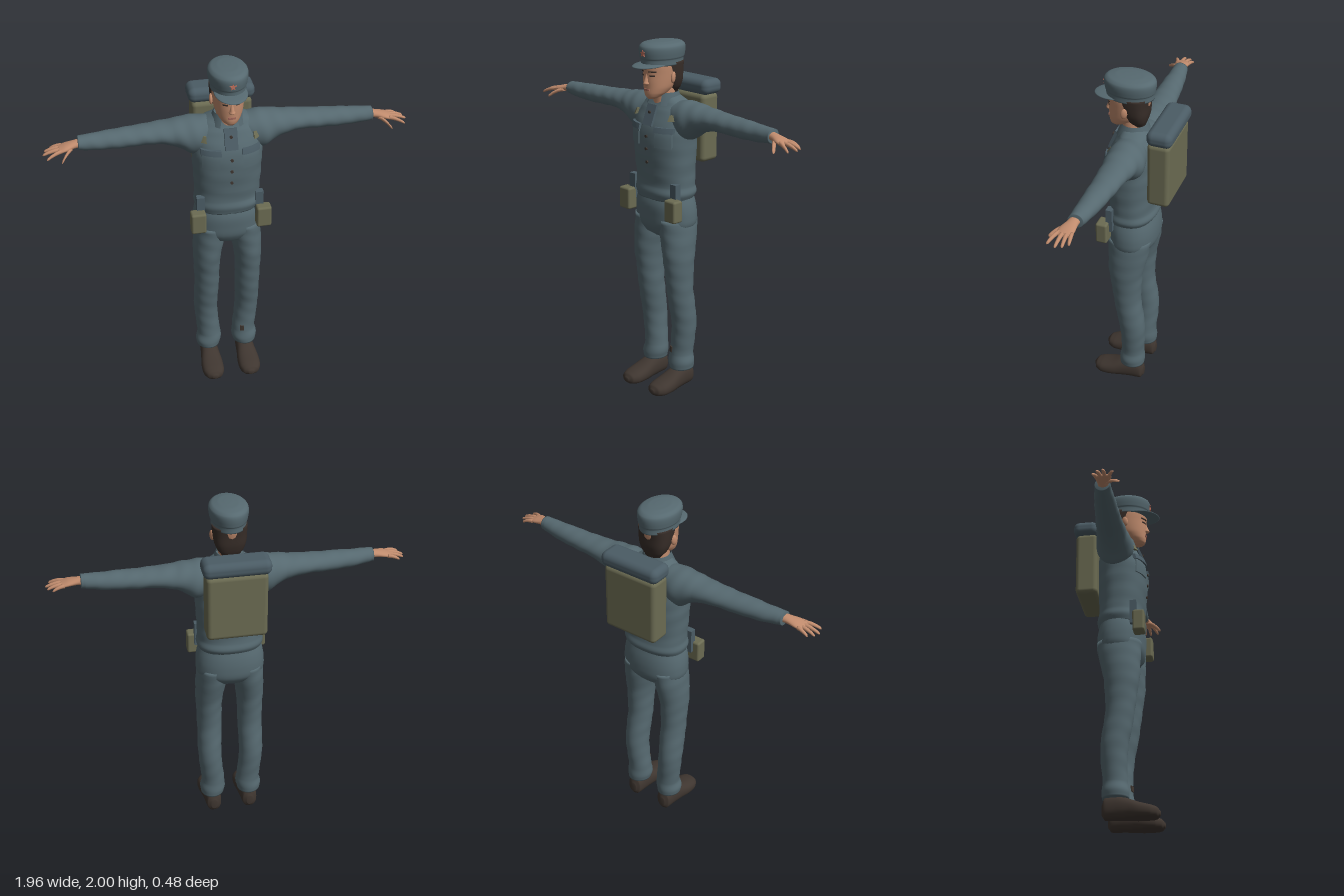
import * as THREE from 'three';
import { RoundedBoxGeometry } from 'three/addons/geometries/RoundedBoxGeometry.js';

const colour = (name, hex, side = THREE.FrontSide) => {
  const m = new THREE.MeshStandardMaterial({ color: hex, side });
  m.name = name;
  return m;
};

// Rows are [t, a, b, ra, rb]: position on the axis, ring centre, ring radii.
function smoothRows(rows, steps = 5) {
  const out = [];
  const at = i => rows[Math.min(Math.max(i, 0), rows.length - 1)];
  for (let i = 0; i < rows.length - 1; i++) {
    for (let s = 0; s < steps; s++) {
      const f = s / steps;
      out.push(rows[i].map((p1, k) => {
        const p0 = at(i - 1)[k], p2 = at(i + 1)[k], p3 = at(i + 2)[k];
        if (k === 0) return p1 + (p2 - p1) * f;
        return p1 + 0.5 * f * (p2 - p0 + f * (2 * p0 - 5 * p1 + 4 * p2 - p3 + f * (3 * (p1 - p2) + p3 - p0)));
      }));
    }
  }
  out.push(rows[rows.length - 1]);
  return out;
}

// Closed smooth body through superelliptic rings along one axis, with optional cloth folds.
function loft(rows, { axis = 'y', n = 2, fold = 0, sides = 32, floor = -1 } = {}) {
  const rings = smoothRows(rows), pos = [], idx = [];
  const put = (t, a, b) => {
    const p = axis === 'y' ? [a, t, b] : axis === 'x' ? [t, a, b] : [a, b, t];
    pos.push(p[0], Math.max(p[1], floor), p[2]);
  };
  const power = v => Math.sign(v) * Math.abs(v) ** (2 / n);
  for (const [t, a, b, ra, rb] of rings) {
    for (let j = 0; j < sides; j++) {
      const w = j / sides * Math.PI * 2;
      const k = 1 + fold * (Math.sin(t * 70 + 2.5 * Math.cos(w)) + 0.7 * Math.sin(t * 43 + 3 * w));
      put(t, a + ra * k * power(Math.cos(w)), b + rb * k * power(Math.sin(w)));
    }
  }
  const flip = (axis !== 'y') !== (rows[rows.length - 1][0] < rows[0][0]);
  const tri = (a, b, c) => flip ? idx.push(a, c, b) : idx.push(a, b, c);
  const last = (rings.length - 1) * sides, end = rings.length * sides;
  for (let j = 0; j < sides; j++) {
    const k = (j + 1) % sides;
    for (let i = 0; i < last; i += sides) {
      tri(i + j, i + sides + j, i + k);
      tri(i + k, i + sides + j, i + sides + k);
    }
    tri(end, j, k);
    tri(end + 1, last + k, last + j);
  }
  for (const r of [rings[0], rings[rings.length - 1]]) put(r[0], r[1], r[2]);
  const g = new THREE.BufferGeometry();
  g.setAttribute('position', new THREE.Float32BufferAttribute(pos, 3));
  g.setIndex(idx);
  g.computeVertexNormals();
  return g;
}

// Front surface of an upright loft at (x, y).
function frontZ(rows, x, y, n) {
  const r = smoothRows(rows);
  let i = 0;
  while (i < r.length - 2 && (r[i + 1][0] - y) * (r[0][0] - y) > 0) i++;
  const f = (y - r[i][0]) / (r[i + 1][0] - r[i][0]);
  const [, a, b, ra, rb] = r[i].map((v, k) => v + (r[i + 1][k] - v) * f);
  return b + rb * Math.max(0, 1 - Math.abs((x - a) / ra) ** n) ** (1 / n);
}

// Thin plate bent to lie on the front of a loft.
function patch(rows, x, y, w, h, { n = 2, thick = 0.008 } = {}) {
  const g = new THREE.BoxGeometry(w, h, thick, 8, 8, 1), p = g.attributes.position;
  for (let i = 0; i < p.count; i++) {
    const px = p.getX(i) + x, py = p.getY(i) + y;
    p.setXYZ(i, px, py, frontZ(rows, px, py, n) + p.getZ(i) + thick * 0.4);
  }
  g.computeVertexNormals();
  return g;
}

export function createModel() {
  const model = new THREE.Group();
  const cloth = colour('uniform cloth', 0x566970), gear = colour('dark cloth', 0x4b5c65);
  const collarCloth = colour('collar cloth', 0x52646b, THREE.DoubleSide);
  const canvas = colour('olive canvas', 0x6b6b52), skin = colour('skin', 0xc08b6d);
  const leather = colour('brown leather', 0x3f3630), hairMat = colour('hair', 0x372d28);
  const red = colour('badge red', 0xc0705c), lip = colour('lips', 0xa0685a);
  const add = (name, geo, mat, x = 0, y = 0, z = 0) => {
    const m = new THREE.Mesh(geo, mat);
    m.name = name;
    m.position.set(x, y, z);
    model.add(m);
    return m;
  };

  // Jacket and trousers
  const torso = [
    [1.13, 0, .02, .172, .122], [1.17, 0, .015, .187, .136], [1.21, 0, .015, .18, .128],
    [1.28, 0, .018, .182, .13], [1.4, 0, .02, .188, .139], [1.5, 0, .02, .192, .139],
    [1.57, 0, .012, .188, .127], [1.63, 0, .004, .17, .105], [1.67, 0, .002, .135, .083],
    [1.695, 0, .01, .09, .068], [1.71, 0, .02, .07, .06]];
  add('jacket', loft(torso, { n: 2.3, fold: .006, sides: 48 }), cloth);
  add('hips', loft([
    [.905, 0, .02, .05, .06], [.93, 0, .016, .14, .1], [.98, 0, .012, .187, .13], [1.04, 0, .012, .193, .136],
    [1.1, 0, .015, .186, .134], [1.16, 0, .015, .17, .12], [1.2, 0, .015, .16, .11]], { n: 2.2 }), cloth);

  // Head, hair and cap
  const head = [
    [1.693, 0, .115, .022, .026], [1.705, 0, .105, .04, .046], [1.725, 0, .086, .058, .07],
    [1.755, 0, .066, .073, .091], [1.79, 0, .052, .081, .107], [1.83, 0, .047, .086, .112],
    [1.87, 0, .045, .089, .118], [1.92, 0, .045, .088, .118]];
  add('neck', loft([[1.63, 0, .025, .07, .065], [1.69, 0, .028, .06, .062], [1.78, 0, .035, .06, .066]]), skin);
  add('head', loft(head), skin);
  add('hair', loft([
    [1.715, 0, -.012, .045, .032], [1.75, 0, -.006, .07, .05], [1.79, 0, .002, .085, .066],
    [1.84, 0, .012, .091, .078], [1.89, 0, .018, .094, .088]], { n: 2.7 }), hairMat);
  add('nose', loft([
    [1.768, 0, .15, .008, .012], [1.778, 0, .153, .018, .024], [1.79, 0, .151, .014, .023],
    [1.82, 0, .15, .009, .013], [1.84, 0, .15, .007, .009]], { sides: 16 }), skin);
  add('mouth', patch(head, 0, 1.745, .042, .01, { thick: .006 }), lip);
  add('cap', loft([
    [1.875, 0, .042, .094, .13], [1.905, 0, .042, .095, .131], [1.915, 0, .042, .1, .136],
    [1.95, 0, .042, .105, .141], [1.975, 0, .042, .103, .138], [1.99, 0, .042, .088, .12],
    [1.998, 0, .042, .055, .078], [2, 0, .042, .02, .03]], { sides: 40 }), cloth);
  const brim = add('cap brim', new THREE.SphereGeometry(1, 32, 12), cloth, 0, 1.879, .122);
  brim.scale.set(.088, .011, .117);
  brim.rotation.x = .06;
  const star = new THREE.Shape(Array.from({ length: 10 }, (_, i) => {
    const r = i % 2 ? .009 : .02, w = i * Math.PI / 5;
    return new THREE.Vector2(r * Math.sin(w), r * Math.cos(w));
  }));
  add('cap badge', new THREE.ExtrudeGeometry(star, { depth: .007, bevelEnabled: false }), red, 0, 1.943, .179);

  // Collar, throat flap and buttons
  add('collar', new THREE.CylinderGeometry(.072, .098, .065, 32, 2, true, .55, Math.PI * 2 - 1.1), collarCloth, 0, 1.69, .02);
  const throat = add('throat flap', new THREE.BoxGeometry(.07, .118, .014), gear, 0, 1.603, .132);
  throat.rotation.x = -.38;
  const button = new THREE.CylinderGeometry(.008, .008, .008, 14).rotateX(Math.PI / 2);
  for (const y of [1.345, 1.42, 1.49, 1.62])
    add('button', button, leather, 0, y, y > 1.6 ? .138 : frontZ(torso, 0, y, 2.3) + .004);

  // Backpack with rolled blanket
  add('backpack', new RoundedBoxGeometry(.33, .38, .125, 4, .025), canvas, 0, 1.51, -.168);
  add('blanket roll', new RoundedBoxGeometry(.365, .085, .142, 5, .036), gear, 0, 1.738, -.174);

  for (const s of [1, -1]) {
    const side = s > 0 ? 'left' : 'right';
    // Sleeves, hands and fingers
    const limb = rows => rows.map(r => [r[0] * s, ...r.slice(1)]);
    add(side + ' sleeve', loft(limb([
      [.08, 1.61, .003, .07, .08], [.14, 1.592, .002, .096, .1], [.19, 1.582, .001, .106, .106],
      [.24, 1.596, .001, .088, .097], [.3, 1.608, .001, .067, .086], [.4, 1.614, .003, .053, .076],
      [.5, 1.611, .008, .051, .068], [.6, 1.61, .014, .05, .061], [.7, 1.61, .02, .045, .052],
      [.77, 1.614, .026, .04, .044], [.795, 1.615, .028, .037, .041]]), { axis: 'x', fold: .016 }), cloth);
    add(side + ' hand', loft(limb([
      [.77, 1.617, .03, .023, .028], [.815, 1.614, .036, .02, .031], [.86, 1.607, .044, .017, .042],
      [.895, 1.6, .046, .012, .042], [.905, 1.598, .046, .006, .035]]), { axis: 'x', sides: 20 }), skin);
    const fingers = [[.88, .012, .945, .002, 1.582], [.885, .034, .972, .027, 1.582], [.885, .056, .981, .06, 1.58],
      [.88, .076, .963, .108, 1.577], [.825, .055, .888, .128, 1.563]];
    fingers.forEach(([x0, z0, x1, z1, y1], i) => add(side + (i < 4 ? ' finger' : ' thumb'), loft(limb(
      [[0, .011], [.35, .0105], [.7, .009], [.93, .007], [1, .003]].map(([f, r]) => [
        x0 + (x1 - x0) * f, 1.602 + (y1 - 1.602) * f * f, z0 + (z1 - z0) * f, r, i < 4 ? r : r * 1.5])),
    { axis: 'x', sides: 12 }), skin));

    // Trouser leg and shoe
    const leg = [
      [1.02, .096, .014, .088, .122], [.92, .105, .018, .088, .115], [.8, .117, .028, .079, .1],
      [.7, .119, .025, .073, .088], [.6, .119, .02, .071, .08], [.5, .121, .005, .07, .079],
      [.4, .122, -.01, .068, .075], [.3, .115, -.012, .067, .07], [.2, .105, -.008, .068, .067],
      [.15, .108, -.005, .074, .075], [.11, .11, -.005, .068, .071]].map(r => [r[0], r[1] * s, ...r.slice(2)]);
    add(side + ' trouser leg', loft(leg, { fold: .012 }), cloth);
    if (s > 0) add('ankle patch', patch(leg, .085, .228, .022, .032), leather);
    add(side + ' shoe', loft([
      [-.077, .108 * s, .05, .018, .03], [-.062, .108 * s, .058, .042, .06], [0, .108 * s, .06, .05, .066],
      [.06, .109 * s, .05, .056, .06], [.12, .11 * s, .036, .064, .05], [.18, .11 * s, .028, .062, .041],
      [.215, .109 * s, .026, .045, .03], [.232, .108 * s, .024, .015, .012]], { axis: 'z', n: 2.3, floor: 0 }), leather);

    // Face details
    add(side + ' eye', patch(head, .034 * s, 1.823, .026, .007, { thick: .004 }), hairMat);
    add(side + ' eyebrow', patch(head, .036 * s, 1.845, .036, .006, { thick: .006 }), hairMat);
    const ear = add(side + ' ear', new THREE.SphereGeometry(1, 16, 12), skin, .089 * s, 1.81, .045);
    ear.scale.set(.011, .031, .019);
    ear.rotation.set(-.15, .35 * s, 0);

    // Collar point, chest pocket and tab
    const point = new THREE.Shape([[.03, .02], [.062, .065], [.095, .02], [.078, -.035]].map(([x, y]) => new THREE.Vector2(x * s, y)));
    const lapel = add(side + ' collar point', new THREE.ExtrudeGeometry(point, { depth: .008, bevelEnabled: false }), collarCloth, 0, 1.662, .088);
    lapel.rotation.set(-.5, .3 * s, 0);
    add(side + ' chest pocket', patch(torso, .108 * s, 1.485, .092, .095, { n: 2.3 }), cloth);
    add(side + ' pocket flap', patch(torso, .108 * s, 1.535, .104, .03, { n: 2.3, thick: .018 }), gear);
    add(side + ' chest tab', patch(torso, .143 * s, 1.602, .03, .032, { n: 2.3, thick: .024 }), canvas);

    // Waist pouch and its strap
    add(side + ' pouch strap', new THREE.BoxGeometry(.045, .14, .036), gear, .163 * s, 1.17, .102);
    add(side + ' pouch', new RoundedBoxGeometry(.083, .124, .066, 3, .012), canvas, .182 * s, 1.1, .135);
  }
  return model;
}
